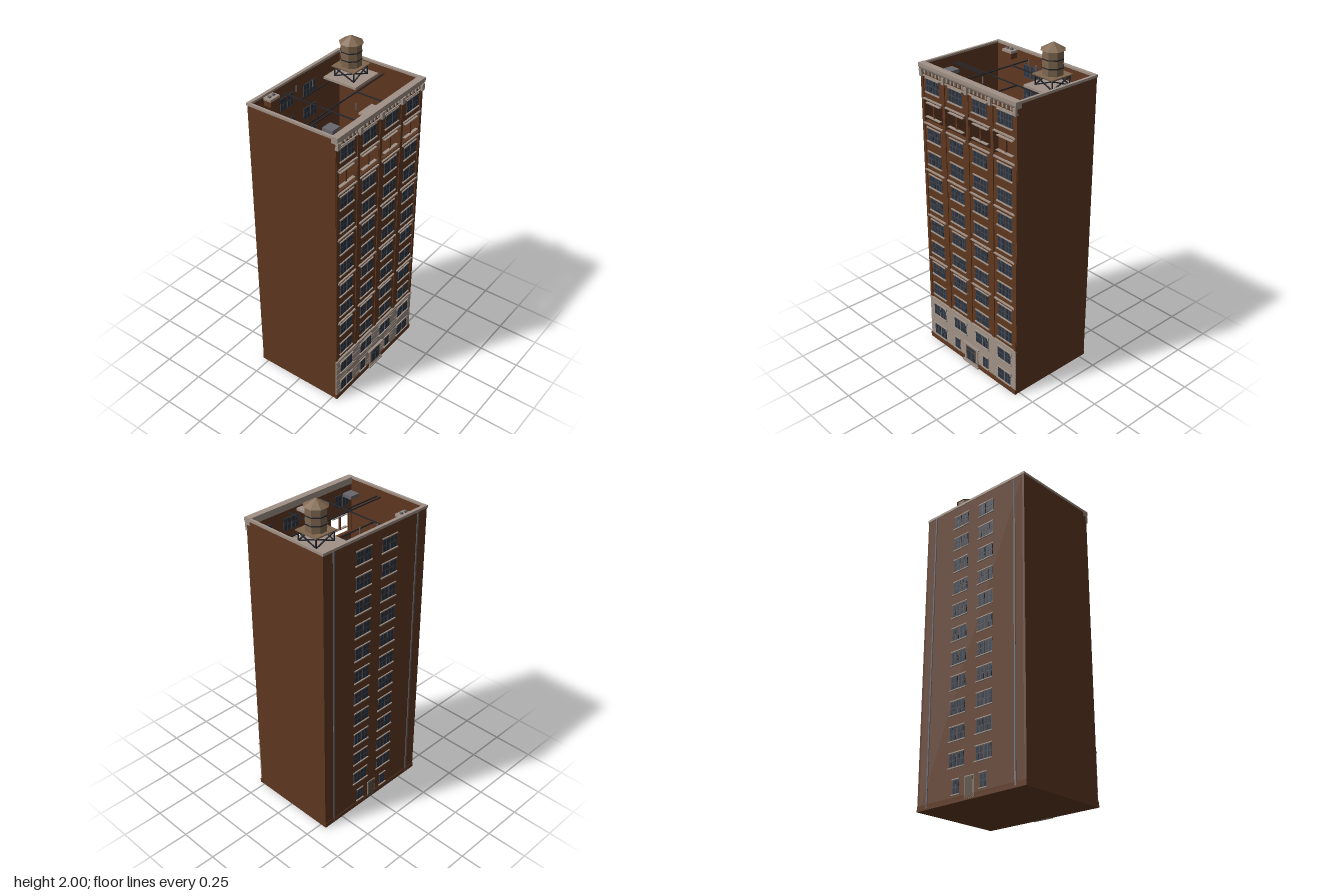
import * as THREE from 'three';

const mat = (name, color, side = THREE.FrontSide) => {
  const m = new THREE.MeshStandardMaterial({ color, side });
  m.name = name;
  return m;
};

export function createModel() {
  const brick = mat('brick', 0x5f3820);
  const stone = mat('stone', 0xa09186);
  const glass = mat('glass', 0x2a3442);
  const frame = mat('window frame', 0x454b55);
  const wood = mat('tank wood', 0x7f674f);
  const iron = mat('dark iron', 0x24272d);
  const zinc = mat('zinc', 0x67676e);
  const bronze = mat('door bronze', 0x5c5348);

  const root = new THREE.Group();
  root.name = 'apartmentBlock';
  const group = (name, parent = root) => {
    const g = new THREE.Group();
    g.name = name;
    parent.add(g);
    return g;
  };
  const add = (parent, name, geo, m) => {
    const mesh = new THREE.Mesh(geo, m);
    mesh.name = name;
    parent.add(mesh);
    return mesh;
  };
  // Box given by its minimum and maximum on each axis
  const box = (parent, name, m, x0, x1, y0, y1, z0, z1) => {
    const mesh = add(parent, name, new THREE.BoxGeometry(x1 - x0, y1 - y0, z1 - z0), m);
    mesh.position.set((x0 + x1) / 2, (y0 + y1) / 2, (z0 + z1) / 2);
    return mesh;
  };

  const bays = [-0.292, -0.098, 0.098, 0.292];
  const rowY = i => 0.084 + i * 0.1463;
  const H = 1.8, W = 0.387;

  // Walls: an open shaft, with four open bays on the eleventh floor of the front
  const walls = group('walls');
  box(walls, 'floor', brick, -W, W, 0, 0.01, -0.288, 0.275);
  for (const s of [-1, 1])
    box(walls, 'sideWall', brick, Math.min(s * W, s * 0.373), Math.max(s * W, s * 0.373), 0, H, -0.288, 0.275);
  box(walls, 'backWall', brick, -0.373, 0.373, 0, H, -0.288, -0.272);
  const outline = new THREE.Shape();
  outline.moveTo(-0.373, 0).lineTo(0.373, 0).lineTo(0.373, H).lineTo(-0.373, H);
  for (const x of bays) {
    const a = Math.max(x - 0.086, -0.37), b = Math.min(x + 0.086, 0.37);
    const hole = new THREE.Path();
    hole.moveTo(a, 1.475).lineTo(a, 1.605).lineTo(b, 1.605).lineTo(b, 1.475);
    outline.holes.push(hole);
  }
  const frontWall = add(walls, 'frontWall',
    new THREE.ExtrudeGeometry(outline, { depth: 0.02, bevelEnabled: false }), brick);
  frontWall.position.z = 0.253;

  // One sash, running through the wall so that it shows on both sides
  const sash = (g, x, y, w, zin, z) => {
    const h = 0.076;
    box(g, 'sashFrame', frame, x - w / 2, x + w / 2, y - h / 2, y + h / 2, zin - 0.002, z + 0.002);
    for (const s of [-1, 1]) for (const c of [-1, 1])
      box(g, 'pane', glass, x + c * w / 4 - w / 4 + 0.003, x + c * w / 4 + w / 4 - 0.003,
        y + s * 0.0185 - 0.0155, y + s * 0.0185 + 0.0155, zin - 0.003, z + 0.003);
  };
  const trim = (g, x, y, w, z) => {
    box(g, 'lintel', stone, x - w / 2, x + w / 2, y + 0.038, y + 0.044, z - 0.002, z + 0.006);
    box(g, 'sill', stone, x - w / 2 - 0.003, x + w / 2 + 0.003, y - 0.045, y - 0.039, z - 0.002, z + 0.008);
  };
  const pair = (g, x, y, zin, z) => {
    for (const s of [-1, 1]) sash(g, x + s * 0.029, y, 0.05, zin, z);
    trim(g, x, y, 0.118, z);
  };
  const single = (g, x, y, zin, z) => {
    sash(g, x, y, 0.045, zin, z);
    trim(g, x, y, 0.055, z);
  };

  // Front: stone base in courses
  const front = group('frontFacade');
  box(front, 'plinth', brick, -W - 0.002, W + 0.002, 0, 0.03, 0.27, 0.283);
  box(front, 'stoneBase', stone, -W, W, 0.03, 0.305, 0.272, 0.277);
  for (let i = 0; i < 12; i++)
    box(front, 'stoneCourse', stone, -W, W, 0.031 + i * 0.0228, 0.0515 + i * 0.0228, 0.276, 0.279);
  box(front, 'baseMoulding', stone, -W, W, 0.297, 0.305, 0.274, 0.285);

  // Front windows, with bare frames in the open bays
  for (let i = 0; i < 12; i++) for (const x of bays) {
    const y = rowY(i), z = i < 2 ? 0.28 : 0.274;
    if (i === 0 && Math.abs(x) < 0.2) single(front, Math.sign(x) * 0.128, y, 0.253, z);
    else if (i === 10) {
      box(front, 'openBayMullion', brick, x - 0.005, x + 0.005, y - 0.04, y + 0.04, 0.262, 0.272);
      box(front, 'openBayHead', stone, x - 0.06, x + 0.06, y + 0.038, y + 0.043, 0.264, 0.28);
      box(front, 'openBaySill', stone, x - 0.062, x + 0.062, y - 0.044, y - 0.039, 0.264, 0.282);
    } else pair(front, x, y, 0.253, z);
    if (i < 2 && (i || Math.abs(x) > 0.2)) for (const s of [-1, 1])
      box(front, 'windowEar', stone, x + s * 0.056 - 0.006, x + s * 0.056 + 0.006, y + 0.026, y + 0.042, 0.278, 0.286);
  }

  // Brick piers and string courses
  for (const x of [-0.376, -0.195, 0, 0.195, 0.376])
    box(front, 'pier', brick, x - 0.01, x + 0.01, 0.305, 1.75, 0.27, 0.278);
  for (const y of [0.587, 0.88, 1.175, 1.465, 1.61]) for (const x of bays)
    box(front, 'stringCourse', stone, x - 0.082, x + 0.082, y - 0.004, y + 0.004, 0.27, 0.283);

  // Entrance: double door, canopy and steps
  const entrance = group('entrance', front);
  box(entrance, 'doorSurround', stone, -0.058, 0.058, 0.01, 0.128, 0.274, 0.284);
  box(entrance, 'doorFrame', bronze, -0.045, 0.045, 0.014, 0.12, 0.28, 0.286);
  for (const s of [-1, 1])
    box(entrance, 'doorGlass', glass, s * 0.02 - 0.014, s * 0.02 + 0.014, 0.025, 0.09, 0.284, 0.2875);
  box(entrance, 'transomGlass', glass, -0.035, 0.035, 0.098, 0.114, 0.284, 0.2875);
  box(entrance, 'canopy', stone, -0.072, 0.072, 0.13, 0.138, 0.274, 0.292);
  box(entrance, 'lowerStep', stone, -0.068, 0.068, 0, 0.01, 0.27, 0.293);
  box(entrance, 'upperStep', stone, -0.06, 0.06, 0.01, 0.022, 0.27, 0.288);

  // Cornice: moulded top on brackets, and parapet coping
  const cornice = group('cornice');
  const profile = new THREE.Shape();
  profile.moveTo(0.25, 1.812).lineTo(0.29, 1.812).lineTo(0.29, 1.795);
  profile.quadraticCurveTo(0.288, 1.78, 0.278, 1.774);
  profile.lineTo(0.25, 1.774);
  const moulding = add(cornice, 'corniceMoulding',
    new THREE.ExtrudeGeometry(profile, { depth: 0.78, bevelEnabled: false, curveSegments: 5 }), stone);
  moulding.rotation.y = -Math.PI / 2;
  moulding.scale.z = -1;
  // Mirror the profile so that it faces the street
  moulding.geometry.rotateY(-Math.PI / 2);
  moulding.rotation.set(0, 0, 0);
  moulding.scale.set(1, 1, 1);
  moulding.position.x = 0.39;
  box(cornice, 'friezeLine', stone, -0.388, 0.388, 1.741, 1.747, 0.27, 0.28);
  for (let i = 0; i <= 24; i++) {
    const x = -0.376 + i * 0.752 / 24, big = i % 6 === 0;
    box(cornice, big ? 'largeBracket' : 'smallBracket', stone, x - (big ? 0.011 : 0.006), x + (big ? 0.011 : 0.006),
      big ? 1.738 : 1.757, 1.778, 0.272, big ? 0.289 : 0.283);
  }
  box(cornice, 'backCoping', stone, -0.39, 0.39, 1.797, 1.812, -0.292, -0.272);
  for (const s of [-1, 1])
    box(cornice, 'sideCoping', stone, s * 0.382 - 0.008, s * 0.382 + 0.008, 1.797, 1.811, -0.272, 0.252);

  // Back: built facing +z, then turned round
  const back = group('backFacade');
  back.rotation.y = Math.PI;
  for (let i = 0; i < 12; i++) for (const x of [-0.098, 0.098])
    (i ? pair : single)(back, x, rowY(i), 0.272, 0.288);
  box(back, 'backPlinth', brick, -W, W, 0, 0.03, 0.28, 0.291);
  box(back, 'backDoorFrame', stone, -0.032, 0.032, 0.01, 0.128, 0.286, 0.291);
  box(back, 'backDoor', bronze, -0.026, 0.026, 0.012, 0.122, 0.286, 0.293);
  for (const x of [-0.315, 0.315])
    box(back, 'drainpipe', zinc, x - 0.005, x + 0.005, 0.01, 1.797, 0.286, 0.292);

  // Roof level: pipes, pads, skylight, vents and chimney
  const roof = group('roofFittings');
  const R = 1.755;
  const pipe = (x0, x1, z0, z1) => box(roof, 'roofPipe', iron, x0, x1, R, R + 0.006, z0, z1);
  pipe(-0.128, -0.122, -0.272, 0.252);
  pipe(-0.373, 0.373, 0.029, 0.035);
  pipe(-0.373, -0.125, 0.054, 0.06);
  pipe(-0.125, 0.115, -0.155, -0.149);
  pipe(0.114, 0.12, 0.032, 0.252);
  box(roof, 'frontPad', stone, -0.058, 0.056, R - 0.005, R + 0.008, 0.174, 0.253);
  box(roof, 'skylight', zinc, -0.302, -0.238, R, R + 0.02, 0.127, 0.191);
  for (const [x, z] of [[-0.068, -0.226], [0.029, -0.193], [-0.03, 0.139]]) {
    const vent = add(roof, 'ventPipe', new THREE.CylinderGeometry(0.004, 0.004, 0.035, 8), zinc);
    vent.position.set(x, R + 0.0175, z);
  }
  box(roof, 'chimney', brick, -0.276, -0.211, R - 0.005, 1.787, -0.272, -0.226);
  box(roof, 'chimneyCap', stone, -0.281, -0.206, 1.785, 1.799, -0.272, -0.222);
  for (const x of [-0.261, -0.229])
    box(roof, 'chimneyFlue', zinc, x - 0.007, x + 0.007, 1.797, 1.808, -0.254, -0.24);

  // Water tank on its braced stand
  const tank = group('waterTank');
  tank.position.set(0.248, 0, -0.099);
  box(tank, 'tankPad', stone, -0.107, 0.107, R - 0.005, R + 0.008, -0.107, 0.107);
  box(tank, 'tankDeck', wood, -0.075, 0.075, 1.82, 1.827, -0.075, 0.075);
  const strut = (a, b) => {
    const d = b.clone().sub(a);
    const m = add(tank, 'standStrut', new THREE.BoxGeometry(0.006, d.length(), 0.006), iron);
    m.position.copy(a).add(b).multiplyScalar(0.5);
    m.quaternion.setFromUnitVectors(new THREE.Vector3(0, 1, 0), d.normalize());
  };
  for (let i = 0; i < 4; i++) {
    const corner = (k, y) => new THREE.Vector3(0.09 * Math.cos((k + 0.5) * Math.PI / 2), y, 0.09 * Math.sin((k + 0.5) * Math.PI / 2));
    strut(corner(i, R), corner(i, 1.82));
    strut(corner(i, R + 0.01), corner(i + 1, 1.815));
    strut(corner(i + 1, R + 0.01), corner(i, 1.815));
    strut(corner(i, 1.817), corner(i + 1, 1.817));
  }
  const octagon = (name, m, top, bottom, y0, y1) => {
    const g = new THREE.CylinderGeometry(top, bottom, y1 - y0, 8).toNonIndexed();
    g.rotateY(Math.PI / 8);
    g.computeVertexNormals();
    add(tank, name, g, m).position.y = (y0 + y1) / 2;
  };
  octagon('tankBody', wood, 0.06, 0.06, 1.827, 1.962);
  for (const y of [1.868, 1.914]) octagon('tankHoop', iron, 0.062, 0.062, y - 0.003, y + 0.003);
  octagon('tankRoof', wood, 0, 0.069, 1.96, 2.0);

  return root;
}
